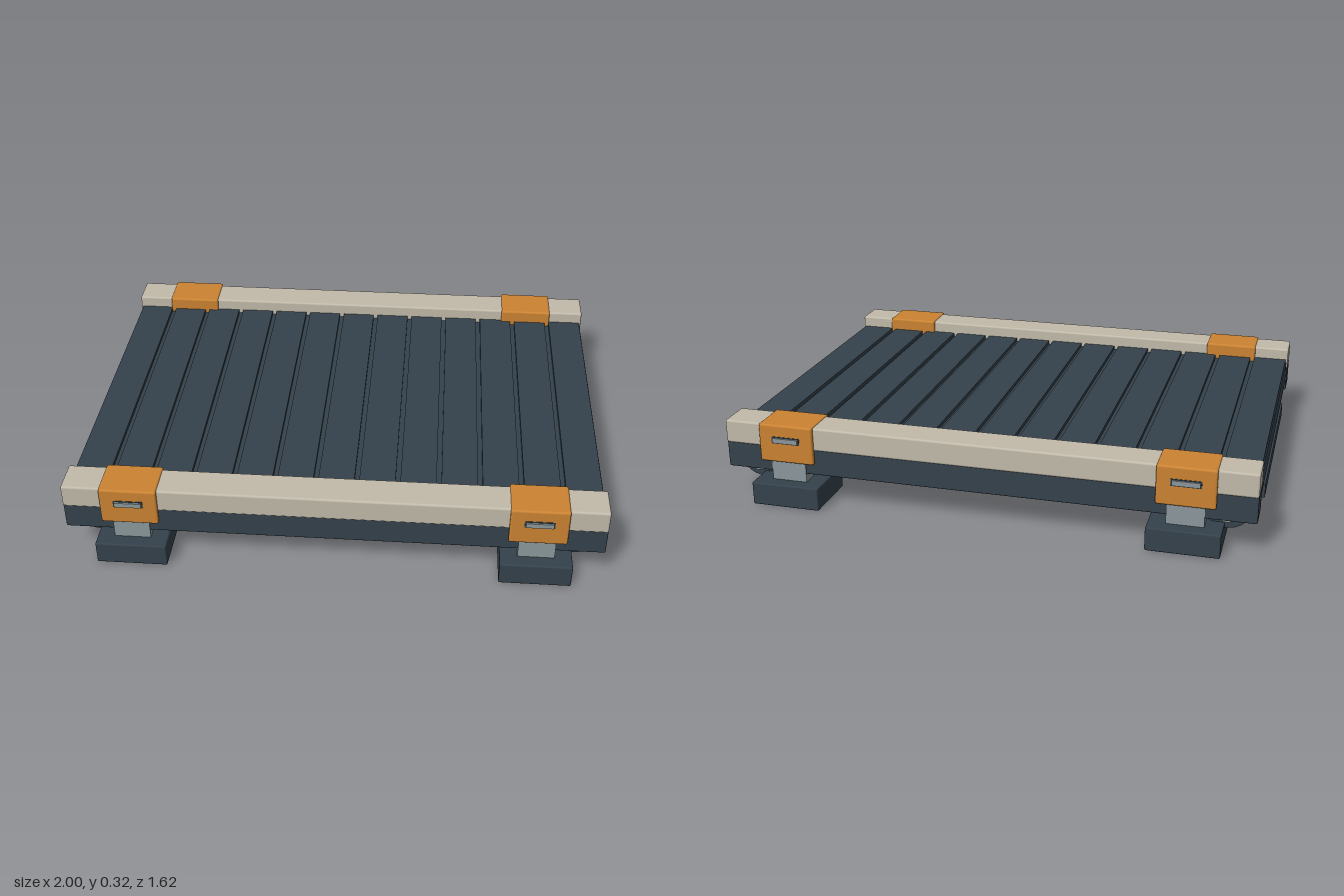
import * as THREE from 'three';
import { RoundedBoxGeometry } from 'three/addons/geometries/RoundedBoxGeometry.js';

const mat = (name, color) => {
  const m = new THREE.MeshStandardMaterial({ color });
  m.name = name;
  return m;
};

export function createModel() {
  const dark = mat('dark slate', 0x35424c);
  const beige = mat('warm beige', 0xc2bbab);
  const orange = mat('orange', 0xcc8433);
  const steel = mat('steel grey', 0x8c999d);
  const model = new THREE.Group();
  model.name = 'conveyorSection';

  // box given by its extents, optionally with rounded edges
  const box = (parent, name, m, [x0, x1], [y0, y1], [z0, z1], r = 0) => {
    const s = [x1 - x0, y1 - y0, z1 - z0];
    const g = r ? new RoundedBoxGeometry(...s, 2, r) : new THREE.BoxGeometry(...s);
    const mesh = new THREE.Mesh(g, m);
    mesh.name = name;
    mesh.position.set((x0 + x1) / 2, (y0 + y1) / 2, (z0 + z1) / 2);
    parent.add(mesh);
    return mesh;
  };
  const rod = (name, m, x, y, r, length) => {
    const mesh = new THREE.Mesh(new THREE.CylinderGeometry(r, r, length, 32), m);
    mesh.name = name;
    mesh.rotation.x = Math.PI / 2;
    mesh.position.set(x, y, 0);
    model.add(mesh);
  };

  // deck with raised slats
  box(model, 'deck', dark, [-0.995, 0.995], [0.15, 0.25], [-0.635, 0.635]);
  const count = 13, pitch = 2 / count;
  for (let i = 0; i < count; i++) {
    const x = -1 + pitch * (i + 0.5);
    box(model, 'slat', dark, [x - pitch * 0.44, x + pitch * 0.44], [0.245, 0.265], [-0.635, 0.635]);
  }

  // belly pan and end rollers
  box(model, 'bellyPan', dark, [-1, 1], [0.077, 0.132], [-0.43, 0.43]);
  for (const x of [-0.89, 0.89]) {
    rod('endRoller', dark, x, 0.16, 0.09, 1.4);
    rod('rollerAxle', steel, x, 0.157, 0.052, 1.46);
  }

  // the two long sides, the back one turned half way round
  for (const turn of [0, Math.PI]) {
    const side = new THREE.Group();
    side.name = turn ? 'backSide' : 'frontSide';
    side.rotation.y = turn;
    model.add(side);
    box(side, 'sideFrame', dark, [-1, 1], [0.122, 0.228], [0.635, 0.757], 0.006);
    box(side, 'topRail', beige, [-1, 1], [0.222, 0.312], [0.628, 0.762], 0.008);

    for (const x of [-0.75, 0.75]) {
      const leg = new THREE.Group();
      leg.name = 'leg';
      leg.position.x = x;
      side.add(leg);
      box(leg, 'foot', dark, [-0.133, 0.133], [0, 0.09], [0.576, 0.812], 0.006);
      box(leg, 'post', steel, [-0.068, 0.068], [0.085, 0.18], [0.64, 0.761]);

      // clamp wrapping over the rail
      box(leg, 'clampOuter', orange, [-0.107, 0.107], [0.167, 0.315], [0.755, 0.775], 0.008);
      box(leg, 'clampTop', orange, [-0.107, 0.107], [0.295, 0.316], [0.617, 0.775], 0.008);
      box(leg, 'clampInner', orange, [-0.107, 0.107], [0.225, 0.315], [0.617, 0.637], 0.008);
      box(leg, 'latchSurround', dark, [-0.055, 0.055], [0.243, 0.27], [0.77, 0.777]);
      box(leg, 'latch', steel, [-0.05, 0.05], [0.247, 0.266], [0.77, 0.784]);
    }
  }
  return model;
}
